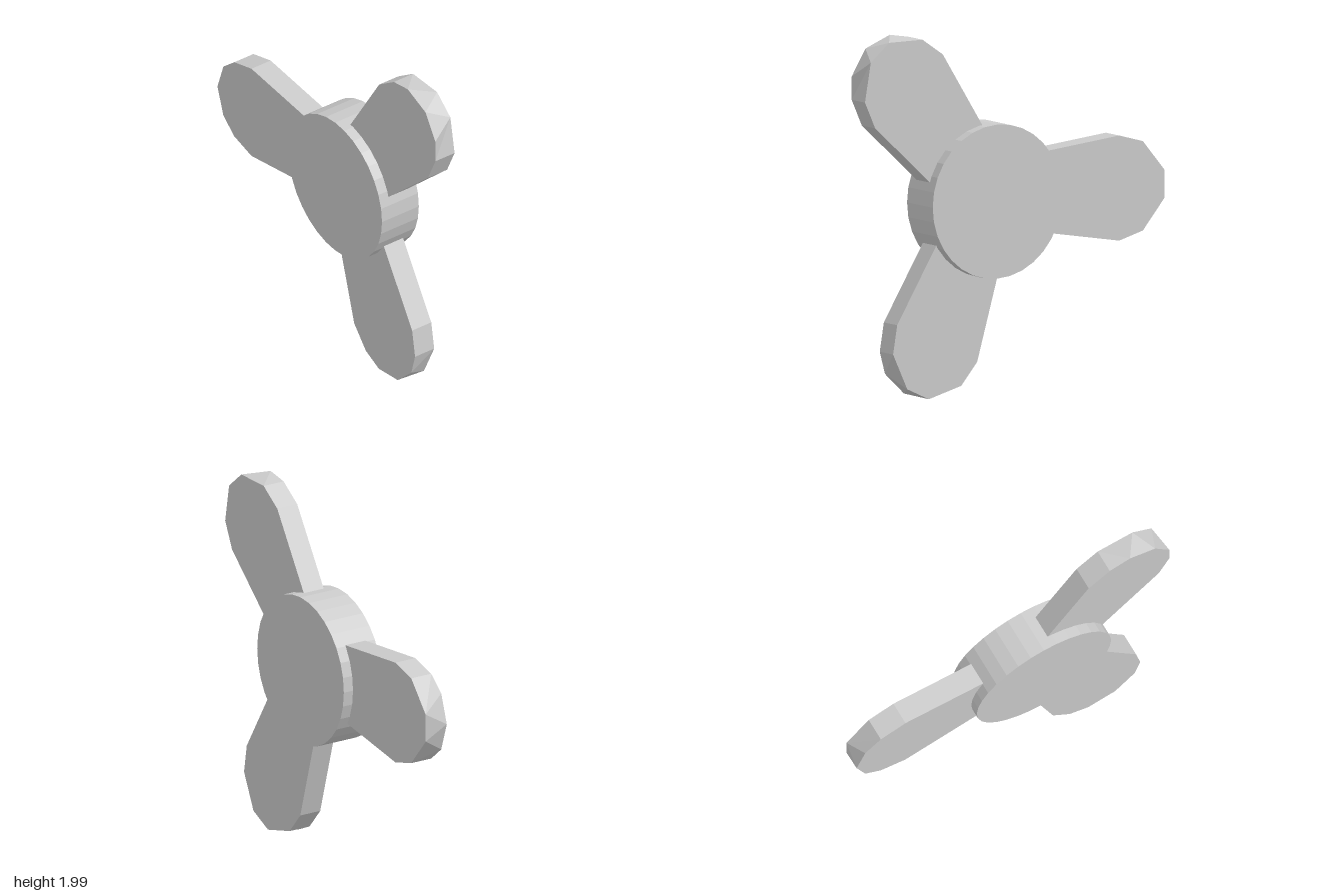
import * as THREE from 'three';

const HUB_Y = 1.064, HUB_Z = 0.16, HUB_R = 0.422, HUB_HALF = 0.125, BLADE_HALF = 0.065;

// Flat blade along +z: the two faces share the root and shoulders,
// but their tip points alternate, so the rim is a zigzag of facets.
function bladeGeometry(shift) {
  // [across, along, side]: side 1 = +x face, -1 = -x face, 0 = both
  const outline = [
    [0.175 + shift, 0, 0], [0.288, 0.835, 0], [0.245, 0.99, 0],
    [0.162, 1.088, -1], [0.078, 1.13, 1], [0, 1.142, -1], [-0.078, 1.13, 1], [-0.162, 1.088, -1],
    [-0.245, 0.99, 0], [-0.288, 0.835, 0], [-0.175 + shift, 0, 0],
  ];
  const at = (p, s) => [s * BLADE_HALF, p[0], p[1]];
  const pos = [];
  const tri = (a, b, c) => pos.push(...a, ...b, ...c);

  // the two broad faces
  for (const s of [1, -1]) {
    const face = outline.filter((p) => p[2] !== -s).map((p) => at(p, s));
    for (let i = 1; i < face.length - 1; i++) {
      if (s > 0) tri(face[0], face[i], face[i + 1]);
      else tri(face[0], face[i + 1], face[i]);
    }
  }

  // the rim, stitched from one face to the other and closed at the root
  let plus = at(outline[0], 1), minus = at(outline[0], -1);
  for (const p of [...outline.slice(1), outline[0]]) {
    if (p[2] <= 0) { tri(plus, minus, at(p, -1)); minus = at(p, -1); }
    if (p[2] >= 0) { tri(plus, minus, at(p, 1)); plus = at(p, 1); }
  }

  const geometry = new THREE.BufferGeometry();
  geometry.setAttribute('position', new THREE.Float32BufferAttribute(pos, 3));
  geometry.computeVertexNormals();
  return geometry;
}

export function createModel() {
  const model = new THREE.Group();
  model.name = 'threeBladeRotor';
  const material = new THREE.MeshStandardMaterial({ color: 0xcccccc, flatShading: true });

  // hub drum, axis along x
  const hub = new THREE.Mesh(new THREE.CylinderGeometry(HUB_R, HUB_R, HUB_HALF * 2, 32), material);
  hub.name = 'hub';
  hub.rotation.z = Math.PI / 2;
  hub.position.set(0, HUB_Y, HUB_Z);
  model.add(hub);

  // blades: angle up from +z in degrees, and sideways shift of the root
  const blades = [['upperBlade', 50, 0], ['lowerBlade', -65, 0.017], ['rearBlade', 180, -0.03]];
  for (const [name, angle, shift] of blades) {
    const blade = new THREE.Mesh(bladeGeometry(shift), material);
    blade.name = name;
    blade.rotation.x = -THREE.MathUtils.degToRad(angle);
    blade.position.set(0, HUB_Y, HUB_Z);
    model.add(blade);
  }
  return model;
}
